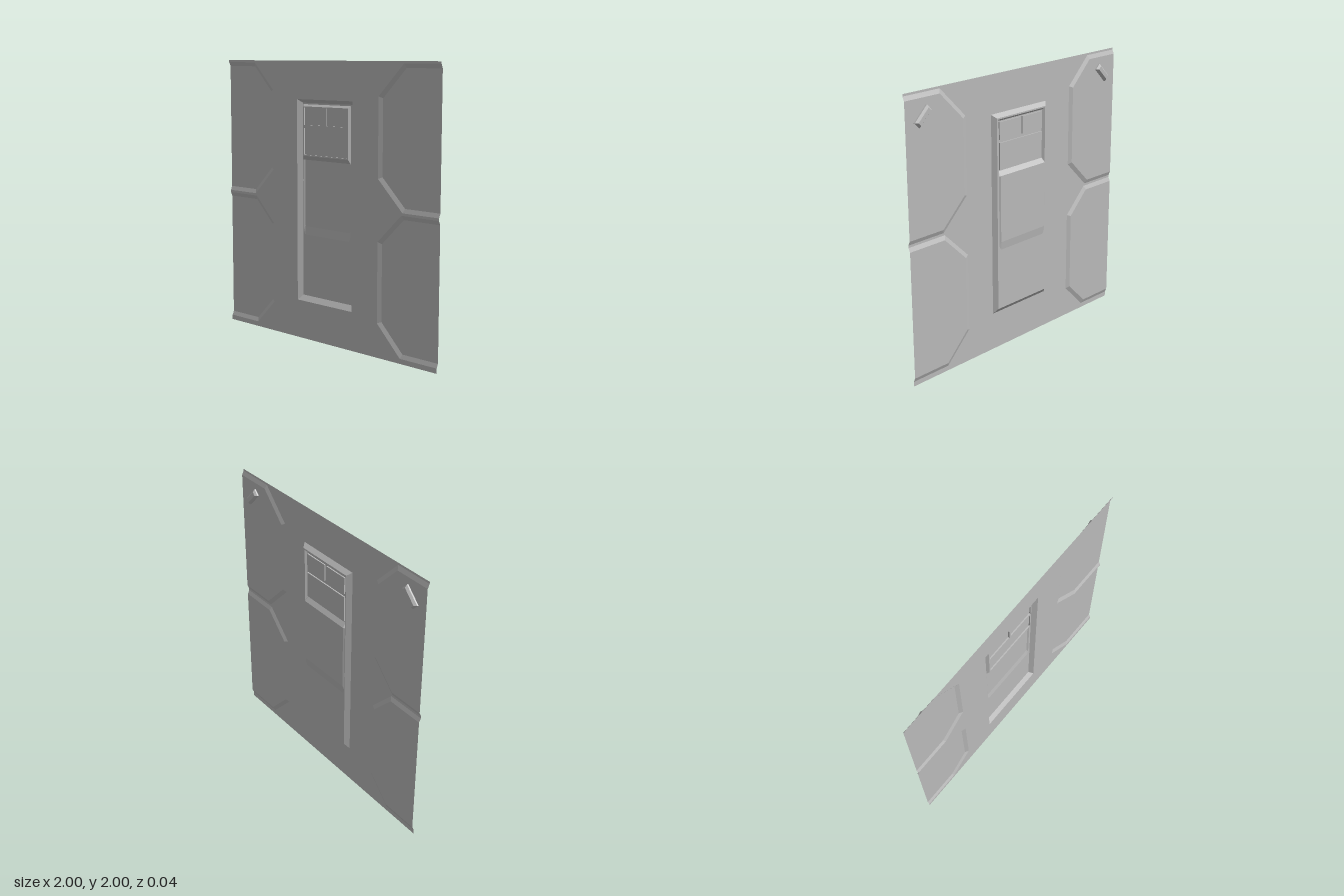
import * as THREE from 'three';

const grey = new THREE.MeshStandardMaterial({ color: 0xbababa, side: THREE.DoubleSide });
grey.name = 'panelGrey';

// depths of the pressed sheet
const WALL = 0.018, PANEL = 0.005, DOOR = -0.012, MIDDLE = -0.02, FRAME = 0.005, PANE = -0.004;

const rect = (x0, y0, x1, y1) => [[x0, y0], [x1, y0], [x1, y1], [x0, y1]];
const at = (pts, z) => pts.map(([x, y]) => [x, y, z]);

function add(parent, geometry, name) {
  const mesh = new THREE.Mesh(geometry, grey);
  mesh.name = name;
  parent.add(mesh);
  return mesh;
}

// flat sheet at depth z, with optional holes
function plate(parent, name, pts, z, holes = []) {
  const v = (list) => list.map(([x, y]) => new THREE.Vector2(x, y));
  const shape = new THREE.Shape(v(pts));
  shape.holes = holes.map((h) => new THREE.Path(v(h)));
  return add(parent, new THREE.ShapeGeometry(shape).translate(0, 0, z), name);
}

// flat-faced band joining two matching point loops
function band(parent, name, a, b, closed = true) {
  const pos = [];
  const n = a.length;
  for (let i = 0; i < (closed ? n : n - 1); i++) {
    const j = (i + 1) % n;
    for (const p of [a[i], a[j], b[j], a[i], b[j], b[i]]) pos.push(...p);
  }
  const g = new THREE.BufferGeometry();
  g.setAttribute('position', new THREE.Float32BufferAttribute(pos, 3));
  g.computeVertexNormals();
  return add(parent, g, name);
}

export function createModel() {
  const model = new THREE.Group();
  model.name = 'wallPanelWithDoor';

  // side recesses: side, inner edge x, corner x, top, upper bend, lower bend, bottom
  const recesses = [
    [-1, 0.522, 0.715, 1.985, 1.79, 1.21, 1.017],
    [-1, 0.522, 0.705, 1.0, 0.815, 0.22, 0.035],
    [1, 0.487, 0.7, 1.985, 1.77, 1.225, 1.017],
    [1, 0.487, 0.69, 1.0, 0.8, 0.24, 0.035],
  ].map(([s, e, c, top, ub, lb, bot]) => {
    const d = 0.029, k = 0.012;
    return {
      outer: [[s, top], [s * c, top], [s * e, ub], [s * e, lb], [s * c, bot], [s, bot]],
      inner: [[s, top - d], [s * (c + k), top - d], [s * (e + d), ub - k],
        [s * (e + d), lb + k], [s * (c + k), bot + d], [s, bot + d]],
    };
  });

  // main wall outline, stepping round the recesses
  const [leftUp, leftLow, rightUp, rightLow] = recesses.map((r) => r.outer);
  const doorOuter = rect(-0.275, 0.278, 0.255, 1.73);
  const outline = [
    [-1, 2], ...leftUp, ...leftLow, [-1, 0], [1, 0],
    ...[...rightLow].reverse(), ...[...rightUp].reverse(), [1, 2],
  ];
  plate(model, 'wallSheet', outline, WALL, [doorOuter]);
  for (const { outer, inner } of recesses) {
    band(model, 'sidePanelBevel', at(outer, WALL), at(inner, PANEL), false);
    plate(model, 'sidePanel', inner, PANEL);
  }

  // door surround and face
  const door = new THREE.Group();
  door.name = 'door';
  model.add(door);
  const doorInner = rect(-0.245, 0.315, 0.23, 1.705);
  band(door, 'doorSurround', at(doorOuter, WALL), at(doorInner, DOOR));
  const midOuter = [[-0.24, 1.3], [-0.24, 0.79], [-0.225, 0.76], [0.2, 0.76], [0.215, 0.79], [0.215, 1.3]];
  const midInner = [[-0.23, 1.3], [-0.23, 0.83], [-0.225, 0.82], [0.2, 0.82], [0.205, 0.83], [0.205, 1.3]];
  plate(door, 'doorFace', doorInner, DOOR, [[[-0.24, 1.695], ...midOuter, [0.215, 1.695]]]);

  // sunken middle section
  band(door, 'middleBevel', at(midOuter, DOOR), at(midInner, MIDDLE), false);
  plate(door, 'middlePanel', midInner, MIDDLE);

  // raised window frame
  const [bl, br, tr, tl] = rect(-0.225, 1.33, 0.205, 1.68);
  band(door, 'windowBevel',
    [[-0.24, 1.695, DOOR], [-0.24, 1.3, DOOR], [-0.23, 1.3, MIDDLE],
      [0.205, 1.3, MIDDLE], [0.215, 1.3, DOOR], [0.215, 1.695, DOOR]],
    at([tl, bl, bl, br, br, tr], FRAME));
  const panes = [
    rect(-0.217, 1.55, -0.02, 1.672),
    rect(0, 1.55, 0.197, 1.672),
    rect(-0.217, 1.338, 0.197, 1.527),
  ];
  plate(door, 'windowFrame', [bl, br, tr, tl], FRAME, panes);
  for (const p of panes) {
    band(door, 'paneEdge', at(p, FRAME), at(p, PANE));
    plate(door, 'windowPane', p, PANE);
  }

  // slanted bevelled blocks on the back, near the upper corners
  for (const s of [-1, 1]) {
    const block = new THREE.Group();
    block.name = s > 0 ? 'leftBackBlock' : 'rightBackBlock';
    const base = rect(-0.072, -0.027, 0.072, 0.027);
    const mid = at(base, -0.01);
    const cap = rect(-0.06, -0.014, 0.06, 0.014);
    band(block, 'blockSides', at(base, 0), mid);
    band(block, 'blockBevel', mid, at(cap, -0.025));
    plate(block, 'blockCap', cap, -0.025);
    block.position.set(s * 0.86, 1.84, PANEL);
    block.rotation.z = -s * Math.PI / 4;
    model.add(block);
  }

  return model;
}
